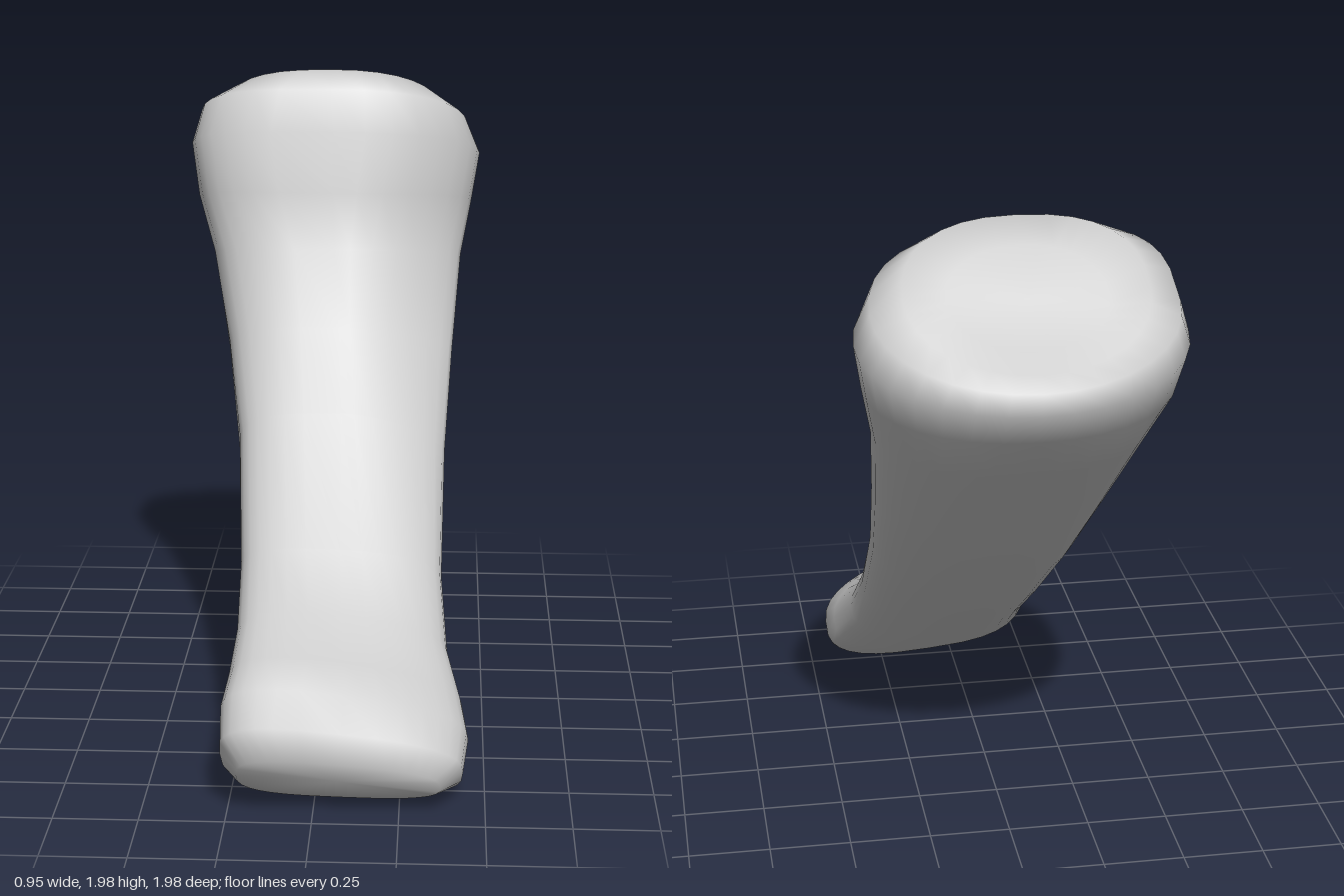
import * as THREE from 'three';

// Cross-sections from head to foot: front z, front y, back z, back y, min x, max x,
// squareness of front left (+x), front right (-x) and back, sideways skew
const SECTIONS = [
  [-0.57, 1.94, -0.84, 1.715, -0.24, 0.22, 2.2, 2.2, 2.0, 0],
  [-0.46, 1.995, -0.93, 1.68, -0.36, 0.34, 2.3, 2.6, 2.0, 0],
  [-0.385, 1.94, -0.97, 1.64, -0.45, 0.43, 2.3, 3.4, 2.0, 0],
  [-0.34, 1.81, -0.985, 1.58, -0.48, 0.475, 2.2, 3.8, 2.0, 0],
  [-0.295, 1.62, -0.92, 1.48, -0.455, 0.45, 1.9, 3.4, 2.1, 0],
  [-0.25, 1.44, -0.77, 1.32, -0.40, 0.415, 1.6, 2.9, 2.2, 0],
  [-0.10, 1.22, -0.46, 1.00, -0.335, 0.39, 1.4, 3.0, 2.4, 0],
  [0.06, 0.98, -0.13, 0.69, -0.285, 0.37, 1.6, 3.2, 2.4, 0],
  [0.40, 0.64, 0.20, 0.425, -0.255, 0.365, 2.1, 3.0, 2.5, -0.03],
  [0.59, 0.49, 0.42, 0.255, -0.25, 0.385, 2.2, 2.8, 2.6, -0.08],
  [0.77, 0.415, 0.57, 0.14, -0.26, 0.43, 2.3, 2.8, 2.8, -0.12],
  [0.885, 0.36, 0.68, 0.065, -0.275, 0.45, 2.5, 3.0, 3.0, -0.12],
  [0.965, 0.27, 0.78, 0.015, -0.27, 0.435, 2.8, 3.2, 3.0, -0.11],
  [0.975, 0.18, 0.90, 0.05, -0.22, 0.37, 2.8, 3.0, 3.0, -0.08],
];
const SIDES = 32;

const power = (v, n) => Math.sign(v) * Math.pow(Math.abs(v), 2 / n);

// One rounded-box ring lying in the tilted plane of its section
function ring([fz, fy, bz, by, x0, x1, nLeft, nRight, nBack, skew]) {
  const points = [];
  for (let j = 0; j < SIDES; j++) {
    const a = (j / SIDES) * Math.PI * 2;
    const c = Math.cos(a), s = Math.sin(a);
    const n = s < 0 ? nBack : c > 0 ? nLeft : nRight;
    const d = power(s, n);
    const x = (x0 + x1) / 2 + (power(c, n) * (x1 - x0)) / 2;
    // the front leans more than the back
    const shift = skew * (x - 0.1) * (1 + 0.5 * d);
    points.push(new THREE.Vector3(
      x,
      (fy + by) / 2 + (d * (fy - by)) / 2 + shift,
      (fz + bz) / 2 + (d * (fz - bz)) / 2 + shift
    ));
  }
  return points;
}

// Skin the rings and close both ends with a fan
function loft(rings) {
  const points = rings.flat();
  const index = [];
  for (let i = 0; i < rings.length - 1; i++) {
    for (let j = 0; j < SIDES; j++) {
      const k = (j + 1) % SIDES;
      const a = i * SIDES + j, b = i * SIDES + k;
      index.push(a, b, a + SIDES, b, b + SIDES, a + SIDES);
    }
  }
  const last = (rings.length - 1) * SIDES;
  for (const [start, flip] of [[0, true], [last, false]]) {
    const center = new THREE.Vector3();
    for (let j = 0; j < SIDES; j++) center.addScaledVector(points[start + j], 1 / SIDES);
    const c = points.push(center) - 1;
    for (let j = 0; j < SIDES; j++) {
      const a = start + j, b = start + ((j + 1) % SIDES);
      if (flip) index.push(c, b, a);
      else index.push(c, a, b);
    }
  }
  const geometry = new THREE.BufferGeometry().setFromPoints(points);
  geometry.setIndex(index);
  geometry.computeVertexNormals();
  return geometry;
}

export function createModel() {
  const group = new THREE.Group();
  group.name = 'fingerBone';
  const bone = new THREE.Mesh(
    loft(SECTIONS.map(ring)),
    new THREE.MeshStandardMaterial({ color: 0xcccccc })
  );
  bone.name = 'bone';
  group.add(bone);
  return group;
}
